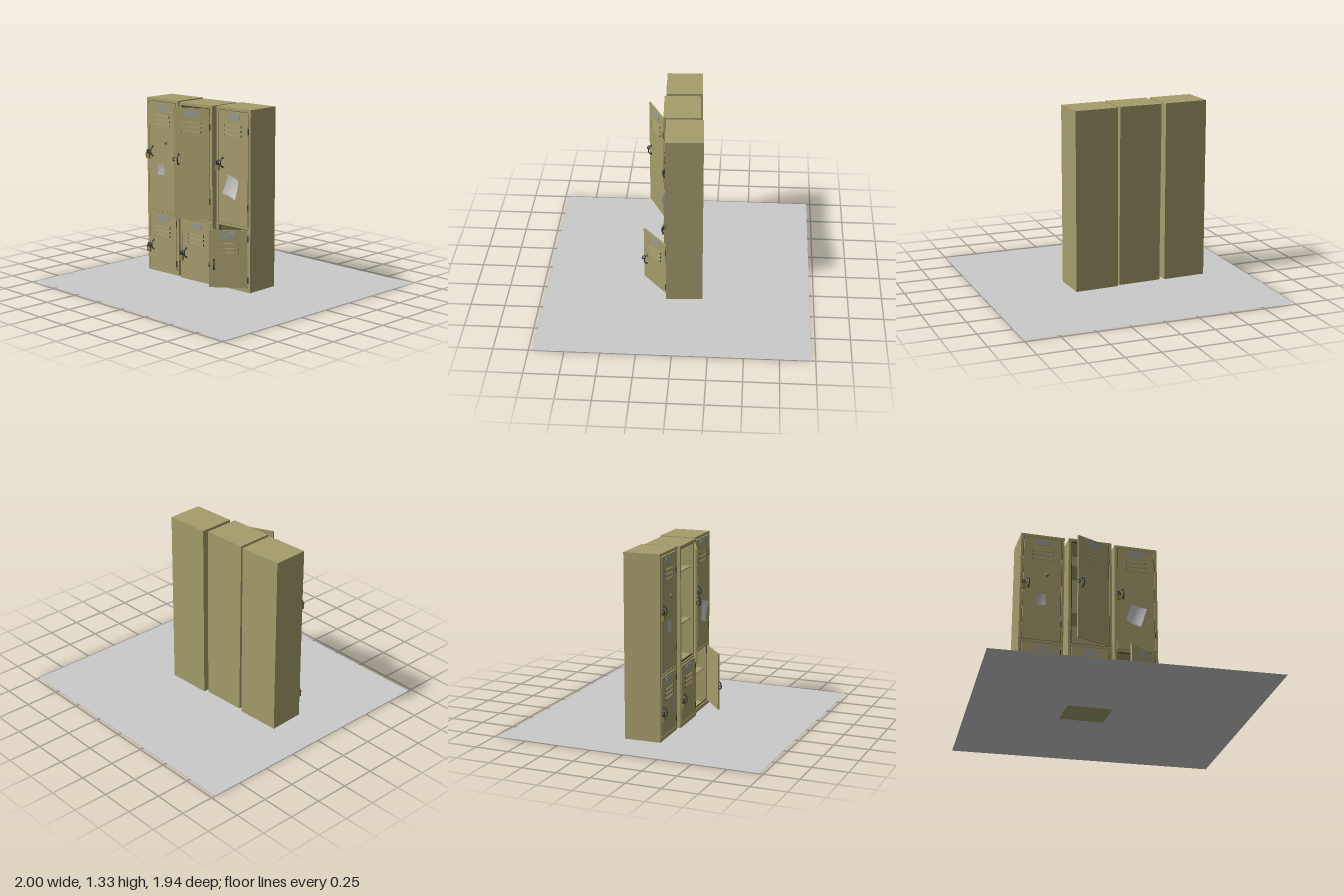
import * as THREE from 'three';

const mat = (name, color, side = THREE.FrontSide) => {
  const m = new THREE.MeshStandardMaterial({ color, side });
  m.name = name;
  return m;
};

const W = 0.326, H = 1.325, D = 0.265, F = D / 2, T = 0.008;
const DOOR_W = 0.278, DOOR_T = 0.012;
const UPPER = { y0: 0.482, y1: 1.3, grip: 0.923, hinges: [0.622, 1.168] };
const LOWER = { y0: 0.034, y1: 0.457, grip: 0.203, hinges: [0.09, 0.395] };

export function createModel() {
  const paint = mat('olive paint', 0xa59d6c);
  const louverPaint = mat('light olive', 0xaca473);
  const dark = mat('dark metal', 0x3c3b3a);
  const seam = mat('dark seam', 0x4b4730);
  const plateGrey = mat('plate grey', 0x9c9c98);
  const brass = mat('brass', 0x8f8242);
  const paper = mat('paper', 0xd2d2d2, THREE.DoubleSide);
  const oldPaper = mat('grey paper', 0xb4b4b2, THREE.DoubleSide);
  const concrete = mat('concrete', 0xcacaca, THREE.DoubleSide);

  const add = (parent, name, geo, material, x = 0, y = 0, z = 0) => {
    const m = new THREE.Mesh(geo, material);
    m.name = name;
    m.position.set(x, y, z);
    parent.add(m);
    return m;
  };
  const box = (parent, name, material, w, h, d, x, y, z) =>
    add(parent, name, new THREE.BoxGeometry(w, h, d), material, x, y, z);

  const rectPath = (P, x0, y0, x1, y1) => {
    const p = new P();
    p.moveTo(x0, y0); p.lineTo(x1, y0); p.lineTo(x1, y1); p.lineTo(x0, y1); p.closePath();
    return p;
  };
  const extrude = (shape, depth) => new THREE.ExtrudeGeometry(shape, { depth, bevelEnabled: false });

  // Name plate with clipped corners
  const plateShape = new THREE.Shape([
    [-0.057, -0.008], [-0.043, -0.021], [0.043, -0.021], [0.057, -0.008],
    [0.057, 0.008], [0.043, 0.021], [-0.043, 0.021], [-0.057, 0.008],
  ].map(([x, y]) => new THREE.Vector2(x, y)));
  const plateGeo = extrude(plateShape, 0.003);

  // Half-ring handle, bulging towards +z
  const handleGeo = new THREE.TorusGeometry(0.034, 0.005, 8, 16, Math.PI);
  handleGeo.rotateZ(-Math.PI / 2).rotateY(-Math.PI / 2).scale(1, 1, 0.75);
  const ringGeo = new THREE.TorusGeometry(0.013, 0.004, 8, 16).rotateY(Math.PI / 2);
  const shackleGeo = new THREE.TorusGeometry(0.012, 0.0035, 8, 12, Math.PI);

  // Sheet bent away from the door at its ends
  const sheet = (w, h, curl) => {
    const g = new THREE.PlaneGeometry(w, h, 8, 8), p = g.attributes.position;
    for (let i = 0; i < p.count; i++) {
      const u = p.getX(i) / w, v = p.getY(i) / h;
      p.setZ(i, curl * (2 * u * u + 1.2 * v * v + 0.8 * u * v));
    }
    g.computeVertexNormals();
    return g;
  };

  // Door group pivots on its right front edge
  function makeDoor(parent, spec, angle, locked) {
    const pivot = new THREE.Group();
    pivot.name = 'door';
    pivot.position.set(DOOR_W / 2, 0, F + 0.002);
    pivot.rotation.y = angle;
    parent.add(pivot);
    const door = new THREE.Group();
    door.name = 'doorLeaf';
    door.position.x = -DOOR_W / 2;
    pivot.add(door);

    const h = spec.y1 - spec.y0;
    box(door, 'doorPanel', paint, DOOR_W, h, DOOR_T, 0, (spec.y0 + spec.y1) / 2, -DOOR_T / 2);
    add(door, 'namePlate', plateGeo, plateGrey, 0, spec.y1 - 0.037, 0);

    // Raised louvers with dark open ends
    for (let i = 0; i < 3; i++) {
      const y = spec.y1 - 0.104 - i * 0.033;
      box(door, 'louver', louverPaint, 0.15, 0.014, 0.007, 0, y, 0.003);
      for (const s of [-1, 1]) box(door, 'louverEnd', dark, 0.002, 0.014, 0.007, s * 0.076, y, 0.003);
    }

    // Handle and hasp ring
    const gx = -DOOR_W / 2 + 0.038;
    add(door, 'handle', handleGeo, dark, gx, spec.grip, 0);
    for (const s of [-1, 1]) box(door, 'handleFoot', dark, 0.013, 0.014, 0.004, gx, spec.grip + s * 0.034, 0.002);
    add(door, 'haspRing', ringGeo, dark, -DOOR_W / 2 + 0.003, spec.grip, 0.006);

    // Padlock
    if (locked) {
      const lock = new THREE.Group();
      lock.name = 'padlock';
      lock.position.set(-DOOR_W / 2 + 0.001, spec.grip - 0.036, 0.016);
      door.add(lock);
      box(lock, 'padlockBody', brass, 0.036, 0.042, 0.016, 0, 0, 0);
      box(lock, 'padlockBand', dark, 0.038, 0.005, 0.018, 0, 0.019, 0);
      add(lock, 'shackle', shackleGeo, dark, 0, 0.034, 0);
      for (const s of [-1, 1])
        add(lock, 'shackleLeg', new THREE.CylinderGeometry(0.0035, 0.0035, 0.016, 8), dark, s * 0.012, 0.027, 0);
    }
    return door;
  }

  function makeLocker(parent, x, z, upper, lower) {
    const g = new THREE.Group();
    g.name = 'locker';
    g.position.set(x, 0.001, z);
    g.rotation.y = 0.045;
    parent.add(g);

    // Hollow cabinet
    const inD = D - 2 * T;
    for (const s of [-1, 1]) box(g, 'sidePanel', paint, T, H, D - T, s * (W - T) / 2, H / 2, -T / 2);
    box(g, 'backPanel', paint, W - 2 * T, H, T, 0, H / 2, -F + T / 2);
    for (const y of [T / 2, H - T / 2]) box(g, 'endPanel', paint, W - 2 * T, T, inD, 0, y, 0);
    for (const y of [0.27, 0.47, 0.74, 1.12]) box(g, 'shelf', paint, W - 2 * T, T, inD - 0.03, 0, y, -0.015);

    // Front frame around both doorways
    const face = rectPath(THREE.Shape, -W / 2, 0, W / 2, H);
    for (const s of [UPPER, LOWER])
      face.holes.push(rectPath(THREE.Path, -DOOR_W / 2 - 0.005, s.y0 - 0.005, DOOR_W / 2 + 0.005, s.y1 + 0.005));
    add(g, 'frontFrame', extrude(face, T), paint, 0, 0, F - T);

    for (const s of [UPPER, LOWER]) {
      // Dark jamb seen through the door gaps
      const jamb = rectPath(THREE.Shape, -DOOR_W / 2 - 0.006, s.y0 - 0.006, DOOR_W / 2 + 0.006, s.y1 + 0.006);
      jamb.holes.push(rectPath(THREE.Path, -DOOR_W / 2 + 0.004, s.y0 + 0.004, DOOR_W / 2 - 0.004, s.y1 - 0.004));
      add(g, 'doorJamb', extrude(jamb, 0.002), seam, 0, 0, F - DOOR_T - 0.002);
      for (const y of s.hinges)
        add(g, 'hinge', new THREE.CylinderGeometry(0.006, 0.006, 0.045, 8), seam, DOOR_W / 2 + 0.002, y, F + 0.001);
    }
    return {
      group: g,
      upper: makeDoor(g, UPPER, upper.angle, upper.locked),
      lower: makeDoor(g, LOWER, lower.angle, lower.locked),
    };
  }

  const model = new THREE.Group();
  model.name = 'lockerRow';

  const floor = add(model, 'floor', new THREE.PlaneGeometry(2, 1.94), concrete);
  floor.rotation.x = -Math.PI / 2;

  const shut = { angle: 0, locked: true };
  const first = makeLocker(model, -0.524, -0.007, shut, shut);
  const second = makeLocker(model, -0.163, -0.009, { angle: 0.4, locked: false }, shut);
  const third = makeLocker(model, 0.183, -0.045, shut, { angle: 0.64, locked: false });

  // The middle locker leans and sinks slightly into the floor
  second.group.position.y = -0.001;
  second.group.rotation.z = 0.005;

  // Small lump and note on the first door
  const lump = add(first.upper, 'lump', new THREE.SphereGeometry(0.016, 10, 8), brass, 0.036, 1.003, 0.002);
  lump.scale.z = 0.7;
  const note = add(first.upper, 'smallNote', sheet(0.068, 0.085, 0.01), oldPaper, -0.008, 0.795, 0.003);
  note.rotation.z = 0.05;

  // Large curled poster on the third door
  const poster = add(third.upper, 'poster', sheet(0.118, 0.15, 0.025), paper, -0.004, 0.757, 0.003);
  poster.rotation.z = -0.3;

  return model;
}
